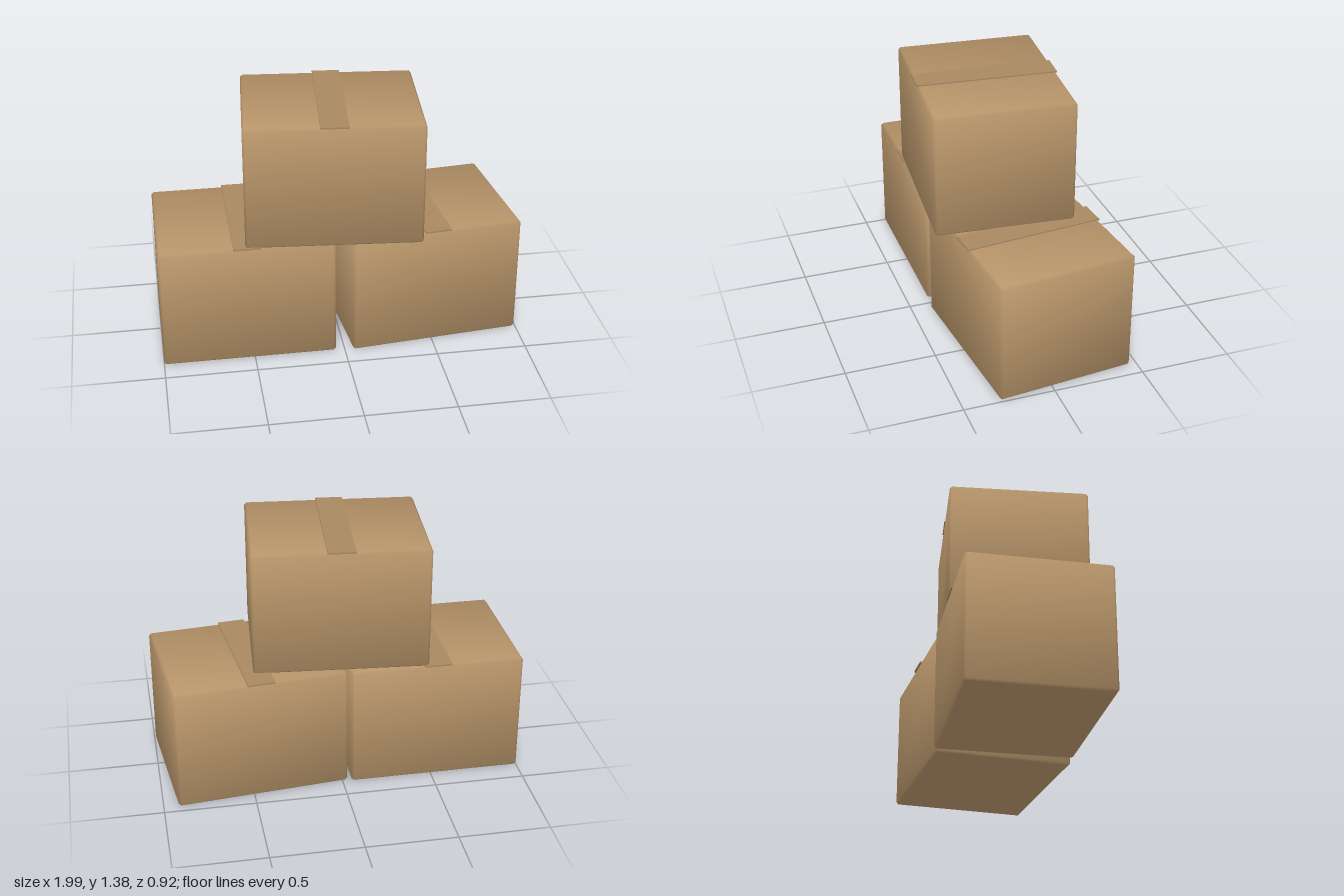
import * as THREE from 'three';
import { ConvexGeometry } from 'three/addons/geometries/ConvexGeometry.js';

const W = 0.95, H = 0.685, D = 0.76, BEVEL = 0.012;

// Box with chamfered edges and soft normals that lean outwards at the corners
function softBox(w, h, d, b) {
  const half = [w / 2, h / 2, d / 2];
  const points = [];
  for (let axis = 0; axis < 3; axis++)
    for (const sx of [-1, 1]) for (const sy of [-1, 1]) for (const sz of [-1, 1]) {
      const c = [sx, sy, sz].map((s, i) => s * (half[i] - (i === axis ? 0 : b)));
      points.push(new THREE.Vector3(...c));
    }
  const geo = new ConvexGeometry(points);
  const pos = geo.attributes.position, n = new THREE.Vector3();
  for (let i = 0; i < pos.count; i++) {
    const c = [pos.getX(i), pos.getY(i), pos.getZ(i)];
    n.set(...c.map((v, k) => Math.sign(v) * (Math.abs(v) > half[k] - b / 2 ? 1 : 0.43))).normalize();
    geo.attributes.normal.setXYZ(i, n.x, n.y, n.z);
  }
  return geo;
}

export function createModel() {
  const model = new THREE.Group();
  model.name = 'boxStack';
  const cardboard = new THREE.MeshStandardMaterial({ color: 0xb8956a });
  cardboard.name = 'cardboard';
  const tape = new THREE.MeshStandardMaterial({ color: 0xa88860 });
  tape.name = 'packing tape';

  const boxGeo = softBox(W, H, D, BEVEL);
  const tapeGeo = new THREE.BoxGeometry(0.15, 0.009, D + 0.006);

  // One carton with a strip of tape along the top seam
  function addCarton(name, x, y, z, turn) {
    const carton = new THREE.Group();
    carton.name = name;
    const body = new THREE.Mesh(boxGeo, cardboard);
    body.name = 'cartonBody';
    body.position.y = H / 2;
    const strip = new THREE.Mesh(tapeGeo, tape);
    strip.name = 'tapeStrip';
    strip.position.y = H + 0.0025;
    carton.add(body, strip);
    carton.position.set(x, y, z);
    carton.rotation.y = turn;
    model.add(carton);
  }

  addCarton('lowerRightCarton', -0.525, 0, 0, 0);
  addCarton('lowerLeftCarton', 0.483, 0, -0.036, 0.1);
  addCarton('upperCarton', -0.03, 0.688, 0.038, -0.085);
  return model;
}
